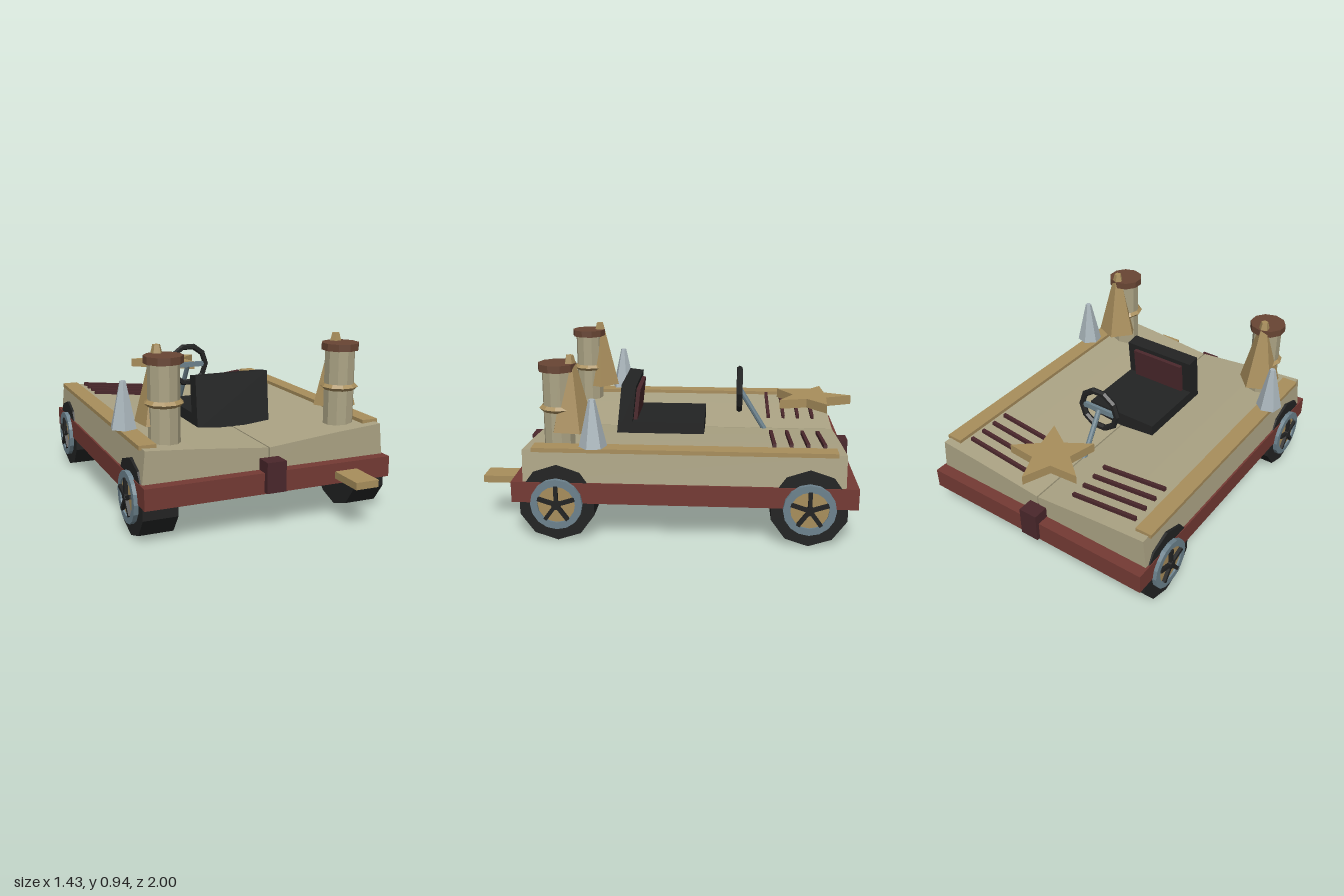
import * as THREE from 'three';

const mat = (name, color) => {
  const m = new THREE.MeshStandardMaterial({ color, flatShading: true });
  m.name = name;
  return m;
};

export function createModel() {
  const beige = mat('beige', 0xaba384);
  const ochre = mat('ochre', 0xa88e5c);
  const red = mat('red', 0x743a34);
  const maroon = mat('maroon', 0x4a272b);
  const black = mat('black', 0x222323);
  const brown = mat('brown', 0x684534);
  const steel = mat('steel blue', 0x6c828d);
  const silver = mat('silver', 0xa9b5bb);

  const model = new THREE.Group();
  model.name = 'kart';

  const add = (parent, name, geo, material, x = 0, y = 0, z = 0) => {
    const mesh = new THREE.Mesh(geo, material);
    mesh.name = name;
    mesh.position.set(x, y, z);
    parent.add(mesh);
    return mesh;
  };
  const box = (w, h, d) => new THREE.BoxGeometry(w, h, d);
  const cyl = (top, bottom, h, sides) => new THREE.CylinderGeometry(top, bottom, h, sides);

  // Extrudes an outline along z, from z = 0 to z = depth
  const extrude = (points, depth) => new THREE.ExtrudeGeometry(
    new THREE.Shape(points.map(([x, y]) => new THREE.Vector2(x, y))),
    { depth, bevelEnabled: false });

  // Chassis slab and the two end clamps
  add(model, 'chassis', box(1.364, 0.11, 1.77), red, 0, 0.26, -0.085);
  add(model, 'frontClamp', box(0.106, 0.16, 0.09), maroon, 0, 0.295, 0.785);
  add(model, 'rearClamp', box(0.106, 0.16, 0.09), maroon, 0, 0.295, -0.945);

  // Everything that comes in a left and right pair
  for (const s of [1, -1]) {
    const side = s > 0 ? 'left' : 'right';

    // Half of the dished deck, leaving a narrow seam in the middle
    const outline = [[0.004, 0.314], [0.672, 0.314], [0.655, 0.482], [0.4, 0.463], [0.2, 0.444], [0.004, 0.425]]
      .map(([x, y]) => [s * x, y]);
    add(model, side + 'Deck', extrude(outline, 1.645), beige, 0, 0, -0.905);

    // Side rail
    add(model, side + 'Rail', box(0.09, 0.022, 1.55), ochre, s * 0.625, 0.485, -0.085);

    // Slanted vent slats
    for (const z of [-0.805, -0.72, -0.635, -0.547]) {
      add(model, side + 'Vent', box(0.392, 0.02, 0.018), maroon, s * 0.35, 0.471, z).rotation.z = s * 0.11;
    }

    // Wheels with rim, hub disc and five spokes
    for (const z of [0.565, -0.725]) {
      const wheel = new THREE.Group();
      wheel.name = side + (z > 0 ? 'Front' : 'Rear') + 'Wheel';
      wheel.position.set(s * 0.587, 0.203, z);
      wheel.rotation.y = s > 0 ? 0 : Math.PI;
      model.add(wheel);

      const disc = (name, r, x0, x1, sides, material) => {
        const g = cyl(r, r, x1 - x0, sides).rotateZ(-Math.PI / 2);
        add(wheel, name, g, material, (x0 + x1) / 2);
      };
      const tyre = cyl(0.203, 0.203, 0.182, 10).rotateY(Math.PI / 2).rotateZ(-Math.PI / 2);
      add(wheel, 'tyre', tyre, black);
      const ring = new THREE.Shape().absarc(0, 0, 0.135, 0, Math.PI * 2);
      ring.holes.push(new THREE.Path().absarc(0, 0, 0.098, 0, Math.PI * 2));
      const rim = new THREE.ExtrudeGeometry(ring, { depth: 0.03, bevelEnabled: false, curveSegments: 8 });
      add(wheel, 'rim', rim.rotateY(Math.PI / 2), steel, 0.085);
      disc('hubDisc', 0.1, 0.08, 0.105, 16, ochre);
      disc('hubCap', 0.024, 0.1, 0.126, 8, black);
      for (let i = 0; i < 5; i++) {
        const spoke = box(0.02, 0.095, 0.02).translate(0.113, 0.0525, 0).rotateX(i * Math.PI * 0.4);
        add(wheel, 'spoke', spoke, black);
      }
    }

    // Tower: faceted column, collar and cap
    const tower = new THREE.Group();
    tower.name = side + 'Tower';
    tower.position.set(s * 0.497, 0, 0.573);
    model.add(tower);
    add(tower, 'column', cyl(0.081, 0.081, 0.43, 10), beige, 0, 0.66);
    const collar = new THREE.TorusGeometry(0.084, 0.017, 4, 10).rotateX(Math.PI / 2);
    add(tower, 'collar', collar, ochre, 0, 0.669);
    add(tower, 'cap', cyl(0.1, 0.1, 0.038, 10), brown, 0, 0.884);

    // Tapered spires beside the tower
    const spire = add(model, side + 'OchreSpire', cyl(0.02, 0.118, 0.39, 5), ochre, s * 0.508, 0.75, 0.505);
    spire.rotation.y = s * 0.2 + Math.PI;
    const cone = add(model, side + 'SilverSpire', cyl(0.017, 0.072, 0.245, 6), silver, s * 0.645, 0.627, 0.375);
    cone.rotation.y = s * 0.2;
  }

  // Front step plate
  add(model, 'stepPlate', box(0.13, 0.038, 0.22), ochre, 0.418, 0.253, 0.89);

  // Seat: cushion, leaning back and inner panel
  const seat = new THREE.Group();
  seat.name = 'seat';
  model.add(seat);
  add(seat, 'cushion', box(0.426, 0.083, 0.47), black, 0, 0.466, 0.06);
  const back = new THREE.Group();
  back.name = 'seatBack';
  back.position.set(0, 0.43, 0.272);
  back.rotation.x = -0.11;
  seat.add(back);
  add(back, 'backrest', box(0.426, 0.29, 0.08), black, 0, 0.142, 0);
  add(back, 'backPanel', box(0.32, 0.19, 0.024), maroon, 0, 0.165, -0.05);

  // Steering wheel on its sloping column
  const steering = new THREE.Group();
  steering.name = 'steering';
  model.add(steering);
  add(steering, 'steeringWheel', new THREE.TorusGeometry(0.115, 0.018, 6, 10), black, 0, 0.655, -0.37);
  add(steering, 'crossbar', box(0.21, 0.03, 0.018), steel, 0, 0.655, -0.37);
  const top = new THREE.Vector3(0, 0.655, -0.372);
  const foot = new THREE.Vector3(0, 0.39, -0.535);
  const axis = top.clone().sub(foot);
  const post = add(steering, 'steeringColumn', cyl(0.015, 0.015, axis.length(), 8), steel);
  post.position.copy(top).add(foot).multiplyScalar(0.5);
  post.quaternion.setFromUnitVectors(new THREE.Vector3(0, 1, 0), axis.normalize());

  // Five-pointed star floating over the rear
  const star = [];
  for (let i = 0; i < 10; i++) {
    const r = i % 2 ? 0.1 : 0.226;
    const a = Math.PI / 2 + i * Math.PI / 5;
    star.push([r * Math.cos(a), r * Math.sin(a)]);
  }
  add(model, 'star', extrude(star, 0.05).rotateX(-Math.PI / 2), ochre, 0, 0.577, -0.774);

  return model;
}
